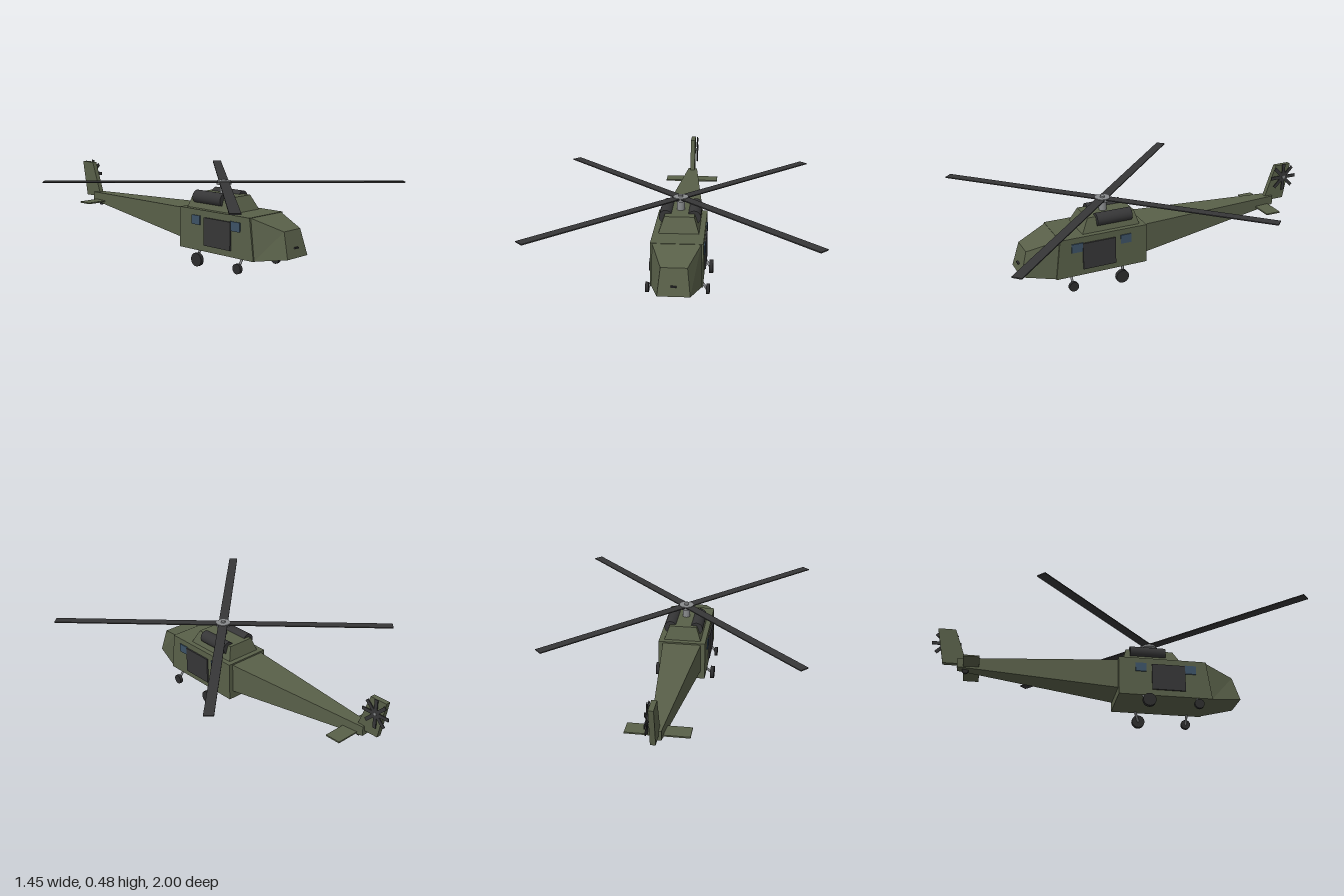
import * as THREE from 'three';

const mat = (name, color, side = THREE.FrontSide) => {
  const m = new THREE.MeshStandardMaterial({ color, side });
  m.name = name;
  return m;
};

// Hull block between two sections, front first.
// Section: [topHalfWidth, topY, topZ, bottomHalfWidth, bottomY, bottomZ]
function hull(front, back) {
  const corners = ([tw, ty, tz, bw, by, bz]) =>
    [[-bw, by, bz], [bw, by, bz], [tw, ty, tz], [-tw, ty, tz]];
  const f = corners(front), b = corners(back);
  const quads = [f, [...b].reverse()];
  for (let i = 0; i < 4; i++) {
    const j = (i + 1) % 4;
    quads.push([f[i], b[i], b[j], f[j]]);
  }
  const pos = [];
  for (const [p, q, r, s] of quads) pos.push(...p, ...q, ...r, ...p, ...r, ...s);
  const g = new THREE.BufferGeometry();
  g.setAttribute('position', new THREE.Float32BufferAttribute(pos, 3));
  g.computeVertexNormals();
  return g;
}

export function createModel() {
  const olive = mat('olive paint', 0x596049);
  const dark = mat('dark grey', 0x363637);
  const rubber = mat('tyre rubber', 0x2c2c2d);
  const metal = mat('bare metal', 0x898b8d);
  const glass = mat('window blue', 0x3c5266);

  const model = new THREE.Group();
  model.name = 'helicopter';
  const add = (name, geo, material, x = 0, y = 0, z = 0, parent = model) => {
    const m = new THREE.Mesh(geo, material);
    m.name = name;
    m.position.set(x, y, z);
    parent.add(m);
    return m;
  };
  const box = (w, h, d) => new THREE.BoxGeometry(w, h, d);
  const cyl = (r, h, n = 20) => new THREE.CylinderGeometry(r, r, h, n);
  const rod = (name, a, b, r, material) => {
    const p = new THREE.Vector3(...a), q = new THREE.Vector3(...b);
    const m = add(name, cyl(r, p.distanceTo(q), 8), material);
    m.position.copy(p).lerp(q, 0.5);
    m.quaternion.setFromUnitVectors(new THREE.Vector3(0, 1, 0), q.sub(p).normalize());
  };

  // Fuselage
  add('cabin', hull([0.138, 0.313, 0.578, 0.138, 0.083, 0.608],
    [0.138, 0.313, 0.065, 0.138, 0.083, 0.065]), olive);
  add('nose', hull([0.068, 0.255, 0.752, 0.084, 0.115, 0.791],
    [0.127, 0.311, 0.578, 0.131, 0.085, 0.608]), olive);
  add('noseSensor', box(0.028, 0.008, 0.012), dark, 0, 0.165, 0.781);
  add('engineDeck', hull([0.08, 0.392, 0.396, 0.108, 0.313, 0.438],
    [0.08, 0.392, 0.118, 0.108, 0.313, 0.096]), olive);
  add('tailBoom', hull([0.112, 0.304, 0.065, 0.112, 0.13, 0.065],
    [0.028, 0.286, -0.845, 0.028, 0.232, -0.845]), olive);
  add('tailFin', hull([0.014, 0.475, -0.867, 0.014, 0.258, -0.79],
    [0.014, 0.475, -0.968, 0.014, 0.258, -0.928]), olive);
  add('stabilizer', box(0.336, 0.008, 0.09), olive, 0, 0.238, -0.765);

  // Parts on both sides
  for (const [side, s] of [['left', 1], ['right', -1]]) {
    add(side + 'Door', box(0.009, 0.157, 0.194), dark, s * 0.1425, 0.197, 0.354);
    add(side + 'FrontWindow', box(0.007, 0.052, 0.068), glass, s * 0.1405, 0.254, 0.482);
    add(side + 'RearWindow', box(0.007, 0.052, 0.062), glass, s * 0.1405, 0.254, 0.193);
    add(side + 'Engine', cyl(0.037, 0.208), dark, s * 0.077, 0.373, 0.244).rotation.x = Math.PI / 2;

    // Landing gear
    add(side + 'FrontWheel', cyl(0.028, 0.018), rubber, s * 0.162, 0.036, 0.52).rotation.z = Math.PI / 2;
    rod(side + 'FrontStrut', [s * 0.12, 0.09, 0.52], [s * 0.156, 0.036, 0.52], 0.007, metal);
    add(side + 'RearWheel', cyl(0.038, 0.022), rubber, s * 0.169, 0.04, 0.232).rotation.z = Math.PI / 2;
    rod(side + 'RearStrut', [s * 0.12, 0.09, 0.205], [s * 0.162, 0.04, 0.232], 0.008, metal);
  }
  add('tailWheel', cyl(0.018, 0.016), rubber, 0, 0.222, -0.797).rotation.z = Math.PI / 2;

  // Main rotor
  const rotor = new THREE.Group();
  rotor.name = 'mainRotor';
  rotor.position.set(0, 0.46, 0.273);
  model.add(rotor);
  add('mast', cyl(0.022, 0.075), metal, 0, -0.045, 0, rotor);
  add('hub', cyl(0.042, 0.02), metal, 0, -0.004, 0, rotor);
  add('hubCap', cyl(0.013, 0.012), metal, 0, 0.009, 0, rotor);
  for (let i = 0; i < 4; i++) {
    const g = box(1.0, 0.006, 0.054);
    g.translate(0.5, 0, 0);
    add('rotorBlade', g, dark, 0, 0, 0, rotor).rotation.y = Math.PI / 4 + i * Math.PI / 2;
  }

  // Tail rotor
  const tail = new THREE.Group();
  tail.name = 'tailRotor';
  tail.position.set(0.027, 0.4, -0.915);
  model.add(tail);
  add('tailRotorAxle', cyl(0.01, 0.03, 12), metal, -0.008, 0, 0, tail).rotation.z = Math.PI / 2;
  for (let i = 0; i < 4; i++) {
    add('tailRotorBlades', box(0.005, 0.168, 0.02), dark, 0, 0, 0, tail).rotation.x = i * Math.PI / 4;
  }
  return model;
}
